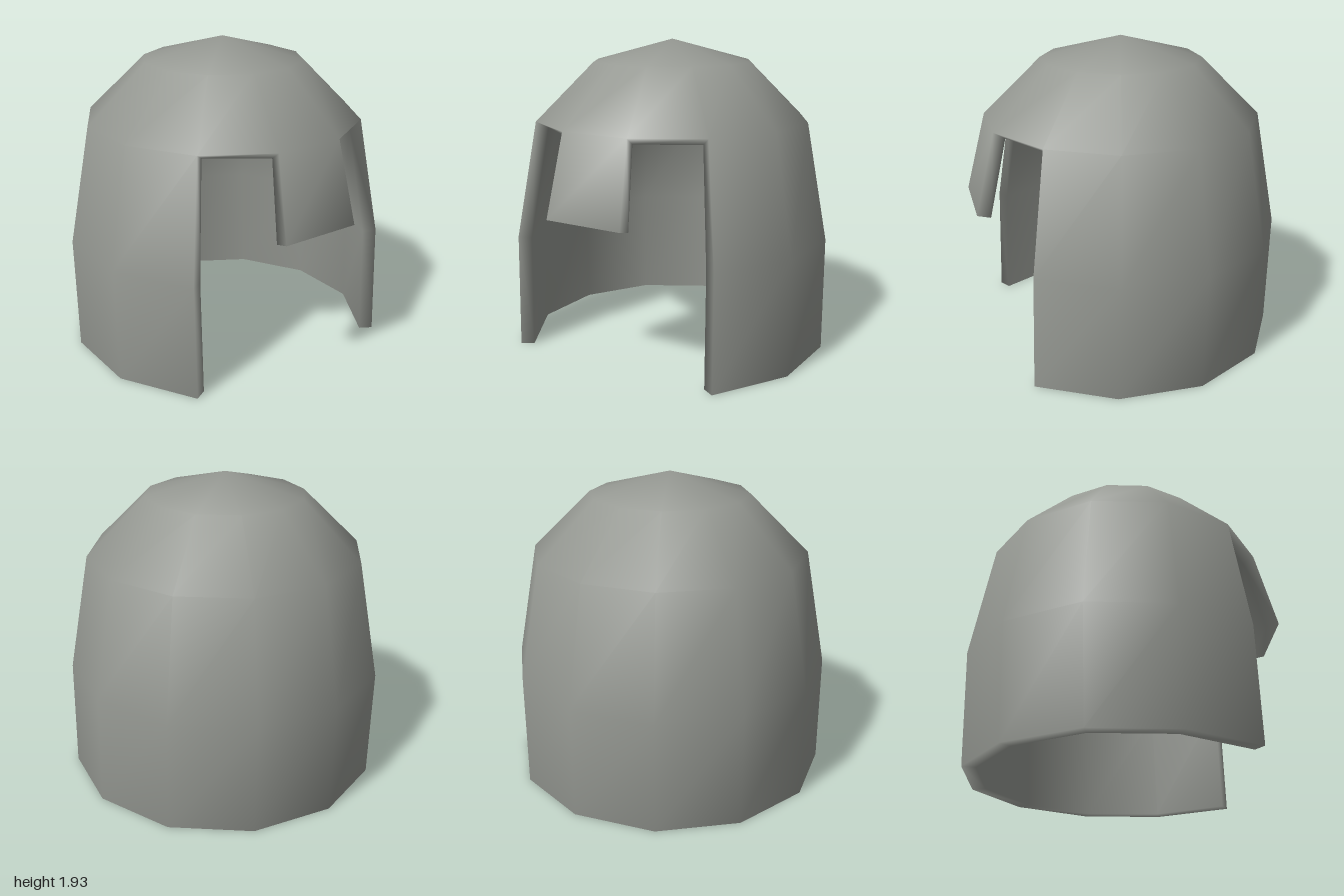
import * as THREE from 'three';

const SIDES = 12;
const THICKNESS = 0.085;
// Rings from the bottom up: radius, height, forward shift
const RINGS = [[1, 0, 0.02], [1, 0.71, 0], [0.866, 1.44, 0], [0.5, 1.8, 0]];

export function createModel() {
  const group = new THREE.Group();
  const shellGrey = new THREE.MeshStandardMaterial({ color: 0x969993 });
  shellGrey.name = 'shellGrey';

  // Outer surface points, ring by ring, then the apex
  const id = (ring, i) => ring * SIDES + (i % SIDES);
  const points = [];
  RINGS.forEach(([r, y, dz]) => {
    for (let i = 0; i < SIDES; i++) {
      const a = (i / SIDES) * Math.PI * 2;
      points.push(new THREE.Vector3(Math.sin(a) * r, y, Math.cos(a) * r + dz));
    }
  });
  const apex = points.push(new THREE.Vector3(0, 1.935, 0)) - 1;

  // The front flap ends short, tilting slightly outwards
  points[id(1, 0)].set(0, 0.94, 0.995);
  points[id(1, 11)].set(-0.497, 0.94, 0.861);

  // Outer faces, leaving the front opening free
  const faces = [];
  for (let i = 0; i < SIDES; i++) {
    for (let ring = 0; ring < 3; ring++) {
      const open = i === 0 || i >= 10;
      const flap = ring === 1 && i === 11;
      if (ring < 2 && open && !flap) continue;
      faces.push([id(ring, i), id(ring, i + 1), id(ring + 1, i + 1), id(ring + 1, i)]);
    }
    faces.push([id(3, i), id(3, i + 1), apex]);
  }
  const triangulate = (list) => list.flatMap((f) =>
    f.length === 4 ? [f[0], f[1], f[2], f[0], f[2], f[3]] : f);

  // Inner surface: the outer one pushed in along its normals
  const outer = new THREE.BufferGeometry().setFromPoints(points);
  outer.setIndex(triangulate(faces));
  outer.computeVertexNormals();
  const n = points.length;
  const inner = points.map((p, i) => {
    const normal = new THREE.Vector3().fromBufferAttribute(outer.attributes.normal, i);
    const q = p.clone().addScaledVector(normal, -THICKNESS);
    q.y = Math.max(q.y, 0);
    return q;
  });
  const all = faces.concat(faces.map((f) => f.map((v) => v + n).reverse()));

  // Rim faces close the shell along every free edge
  const edges = new Set();
  const eachEdge = (fn) => faces.forEach((f) => f.forEach((u, k) => fn(u, f[(k + 1) % f.length])));
  eachEdge((u, v) => edges.add(`${u},${v}`));
  eachEdge((u, v) => {
    if (!edges.has(`${v},${u}`)) all.push([v, u, u + n, v + n]);
  });

  const shell = new THREE.BufferGeometry().setFromPoints(points.concat(inner));
  shell.setIndex(triangulate(all));
  shell.computeVertexNormals();
  const mesh = new THREE.Mesh(shell.toNonIndexed(), shellGrey);
  mesh.name = 'helmetShell';
  group.add(mesh);
  return group;
}
